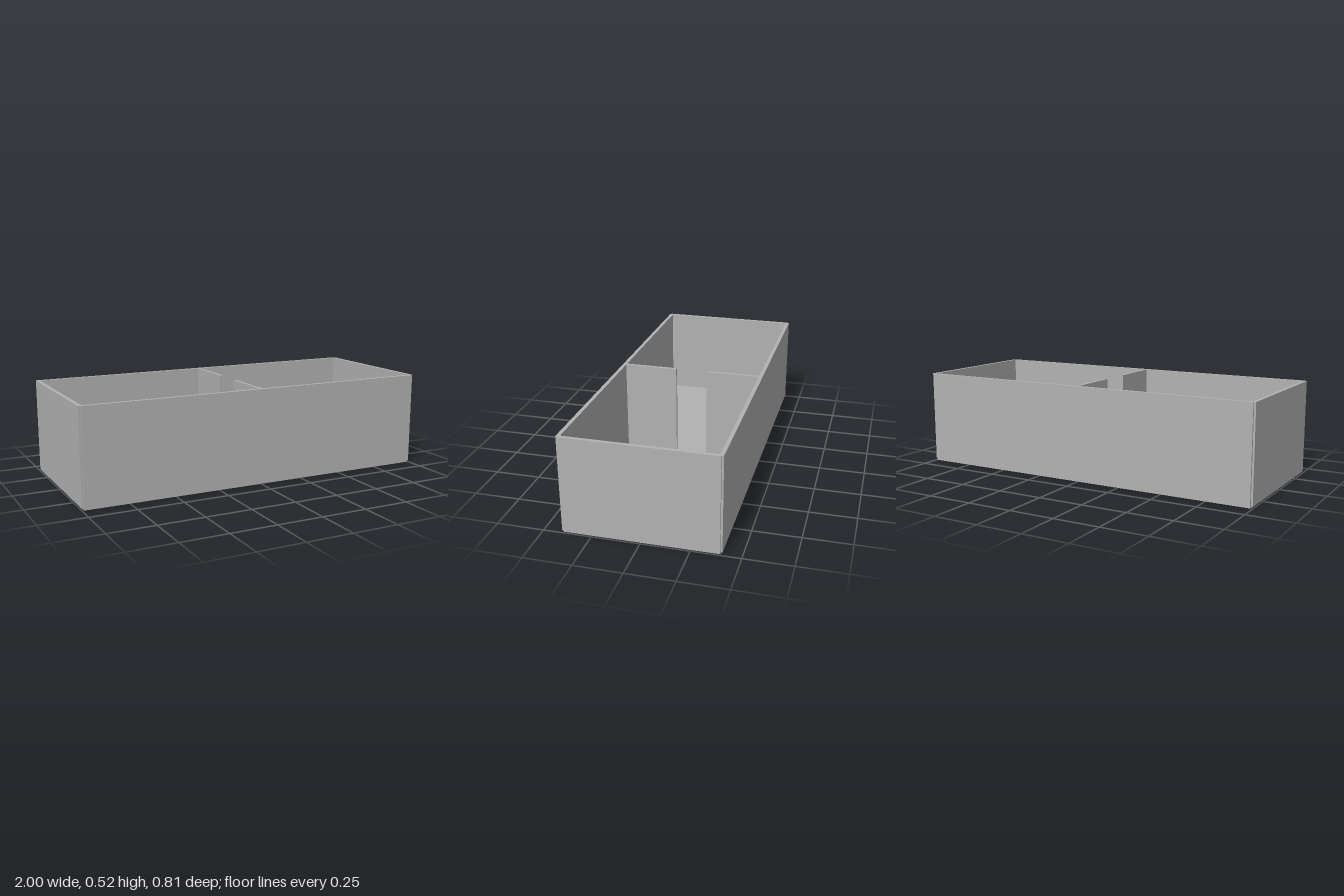
import * as THREE from 'three';

export function createModel() {
  const model = new THREE.Group();
  const grey = new THREE.MeshStandardMaterial({ color: 0xb2b2b2 });
  grey.name = 'plain grey';

  const floorTop = 0.01, wallTop = 0.523, thick = 0.02;
  const halfX = 0.99, halfZ = 0.395; // wall centre lines
  const doorHalf = 0.088;

  // Box given by its centre and size on the plan and its bottom and top
  function slab(name, x, z, w, d, y0, y1) {
    const mesh = new THREE.Mesh(new THREE.BoxGeometry(w, y1 - y0, d), grey);
    mesh.position.set(x, (y0 + y1) / 2, z);
    mesh.name = name;
    model.add(mesh);
  }

  slab('floor', 0, 0, halfX * 2, halfZ * 2, 0, floorTop);

  // Walls run along the centre lines, leaving a small notch at each corner
  const partition = halfZ - thick / 2 - doorHalf;
  for (const s of [1, -1]) {
    slab(s > 0 ? 'frontWall' : 'backWall', 0, s * halfZ, halfX * 2, thick, floorTop, wallTop);
    slab(s > 0 ? 'leftWall' : 'rightWall', s * halfX, 0, thick, halfZ * 2, floorTop, wallTop);
    // Dividing wall with an open doorway in the middle
    slab(s > 0 ? 'frontPartition' : 'backPartition', 0, s * (doorHalf + partition / 2),
      0.018, partition, floorTop, wallTop);
  }
  return model;
}
